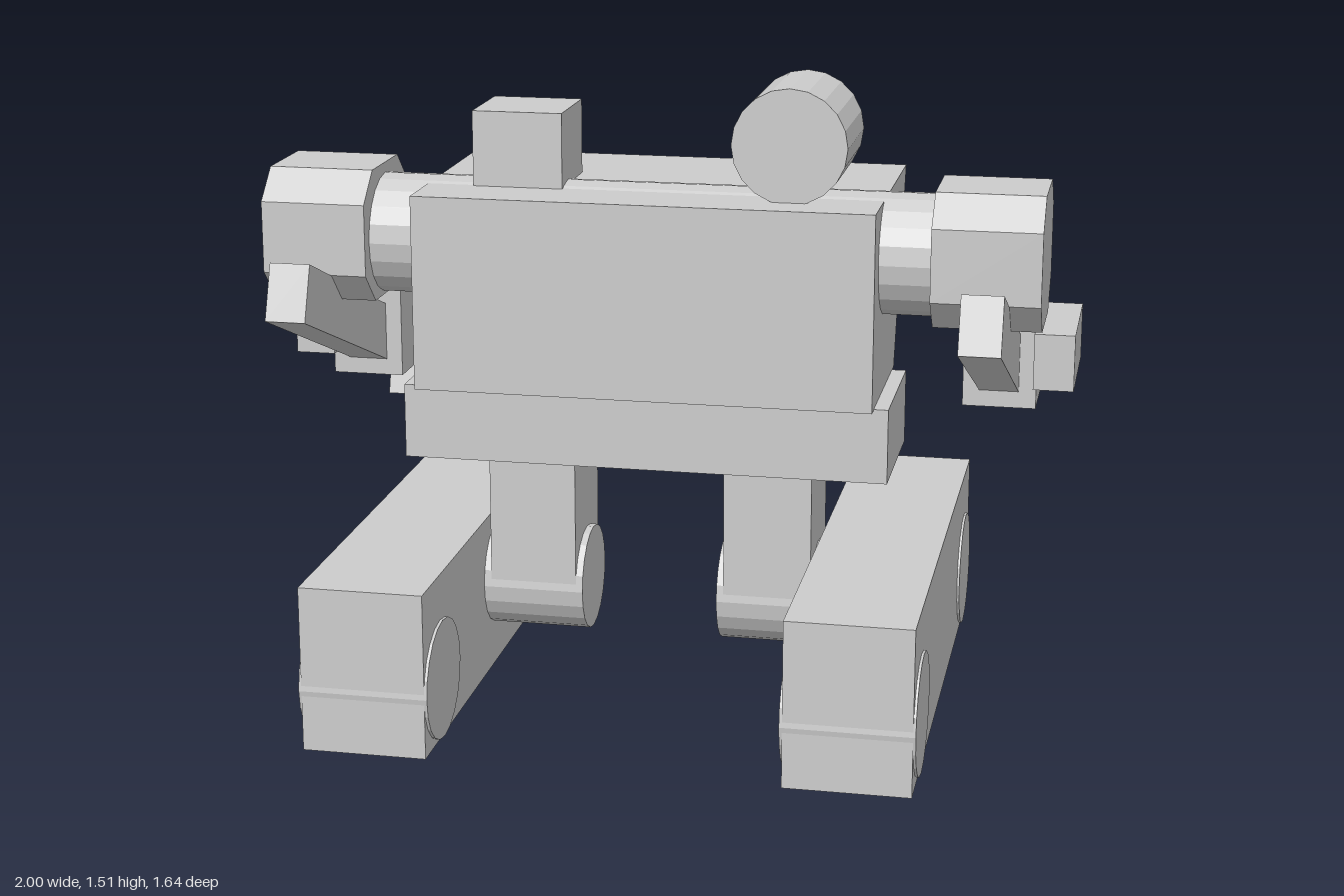
import * as THREE from 'three';

const grey = new THREE.MeshStandardMaterial({ color: 0xcccccc });
grey.name = 'plain grey';
grey.flatShading = true;

function add(parent, name, geometry) {
  const mesh = new THREE.Mesh(geometry, grey);
  mesh.name = name;
  parent.add(mesh);
  return mesh;
}

// Box given by its limits on each axis
function box(parent, name, [x0, x1], [y0, y1], [z0, z1]) {
  const mesh = add(parent, name, new THREE.BoxGeometry(x1 - x0, y1 - y0, z1 - z0));
  mesh.position.set((x0 + x1) / 2, (y0 + y1) / 2, (z0 + z1) / 2);
  return mesh;
}

// Cylinder along x
function axle(parent, name, r, [x0, x1], y, z) {
  const mesh = add(parent, name, new THREE.CylinderGeometry(r, r, x1 - x0, 20).rotateZ(Math.PI / 2));
  mesh.position.set((x0 + x1) / 2, y, z);
}

// Cylinder along z
function barrel(parent, name, r, x, y, [z0, z1]) {
  const mesh = add(parent, name, new THREE.CylinderGeometry(r, r, z1 - z0, 20).rotateX(Math.PI / 2));
  mesh.position.set(x, y, (z0 + z1) / 2);
}

// Side profile of [z, y] points, extruded along x
function profile(parent, name, points, [x0, x1]) {
  const shape = new THREE.Shape(points.map(([z, y]) => new THREE.Vector2(-z, y)));
  const geometry = new THREE.ExtrudeGeometry(shape, { depth: x1 - x0, bevelEnabled: false });
  add(parent, name, geometry.rotateY(Math.PI / 2).translate(x0, 0, 0));
}

function span(side, a, b) {
  return side > 0 ? [a, b] : [-b, -a];
}

export function createModel() {
  const model = new THREE.Group();
  model.name = 'walkerRobot';

  // Body
  box(model, 'pelvis', [-0.59, 0.59], [0.585, 0.767], [-0.018, 0.347]);
  profile(model, 'torso', [[0.38, 0.765], [0.38, 1.24], [-0.24, 1.24], [-0.055, 0.765]], [-0.555, 0.555]);
  axle(model, 'shoulderBar', 0.147, [-0.69, 0.69], 1.105, 0.165);

  // Tapered plate on the sloping back
  const plate = new THREE.BoxGeometry(0.6, 0.15, 0.2);
  const p = plate.attributes.position;
  for (let i = 0; i < p.count; i++) {
    if (p.getY(i) > 0) {
      p.setX(i, p.getX(i) * 0.68);
      p.setZ(i, p.getZ(i) * 0.85);
    }
  }
  const backPlate = add(model, 'backPlate', plate.translate(0, -0.075, 0));
  backPlate.rotation.x = -1.307;
  backPlate.position.set(0, 1.093, -0.268);

  // Sensor box and rocket pod on top
  box(model, 'sensorBox', [-0.44, -0.22], [1.24, 1.423], [0.012, 0.228]);
  box(model, 'sensorWindow', [-0.405, -0.26], [1.29, 1.365], [-0.018, 0.02]);
  barrel(model, 'rocketPod', 0.138, 0.338, 1.372, [-0.005, 0.285]);
  for (let i = 0; i < 5; i++) {
    const a = Math.PI / 2 + i * Math.PI * 2 / 5;
    barrel(model, 'rocketTube', 0.038, 0.338 + 0.087 * Math.cos(a), 1.372 + 0.087 * Math.sin(a), [-0.03, 0.01]);
  }

  for (const side of [1, -1]) {
    const s = (a, b) => span(side, a, b);

    // Leg and track
    const leg = new THREE.Group();
    leg.name = side > 0 ? 'leftLeg' : 'rightLeg';
    model.add(leg);
    box(leg, 'shin', s(0.185, 0.4), [0.24, 0.59], [0.018, 0.272]);
    axle(leg, 'ankle', 0.13, s(0.168, 0.43), 0.235, 0.145);
    box(leg, 'track', s(0.418, 0.715), [0, 0.402], [-0.49, 0.82]);
    for (const z of [0.677, -0.347]) axle(leg, 'trackWheel', 0.145, s(0.411, 0.721), 0.147, z);

    // Arm
    const arm = new THREE.Group();
    arm.name = side > 0 ? 'leftArm' : 'rightArm';
    model.add(arm);
    profile(arm, 'shoulder', [
      [0.27, 1.277], [0.06, 1.277], [-0.016, 1.205], [-0.016, 1.03],
      [0.063, 0.953], [0.27, 0.953], [0.347, 1.03], [0.347, 1.205],
    ], s(0.68, 0.937));
    profile(arm, 'armBar', [[0.505, 1.093], [0.555, 0.962], [-0.085, 0.708], [-0.13, 0.838]], s(0.766, 0.864));
    box(arm, 'forearm', s(0.725, 0.907), [0.667, 0.922], [-0.4, -0.083]);
    box(arm, 'sideGun', s(0.9, 1), [0.722, 0.864], [-0.4, -0.06]);
    barrel(arm, 'sideGunMuzzle', 0.037, side * 0.948, 0.794, [-0.447, -0.39]);
  }

  // Cannon on the left arm
  const leftArm = model.getObjectByName('leftArm');
  barrel(leftArm, 'cannon', 0.071, 0.81, 0.794, [-0.787, -0.39]);
  barrel(leftArm, 'cannonMuzzle', 0.042, 0.81, 0.794, [-0.822, -0.78]);

  // Claw on the right arm, mirrored about its middle height
  const half = [[-0.39, 0.865], [-0.475, 0.955], [-0.44, 1.075], [-0.752, 1.003], [-0.637, 0.963], [-0.56, 0.862]];
  const lower = half.map(([z, y]) => [z, 1.588 - y]).reverse();
  profile(model.getObjectByName('rightArm'), 'claw', [...half, ...lower], [-0.873, -0.757]);

  return model;
}
